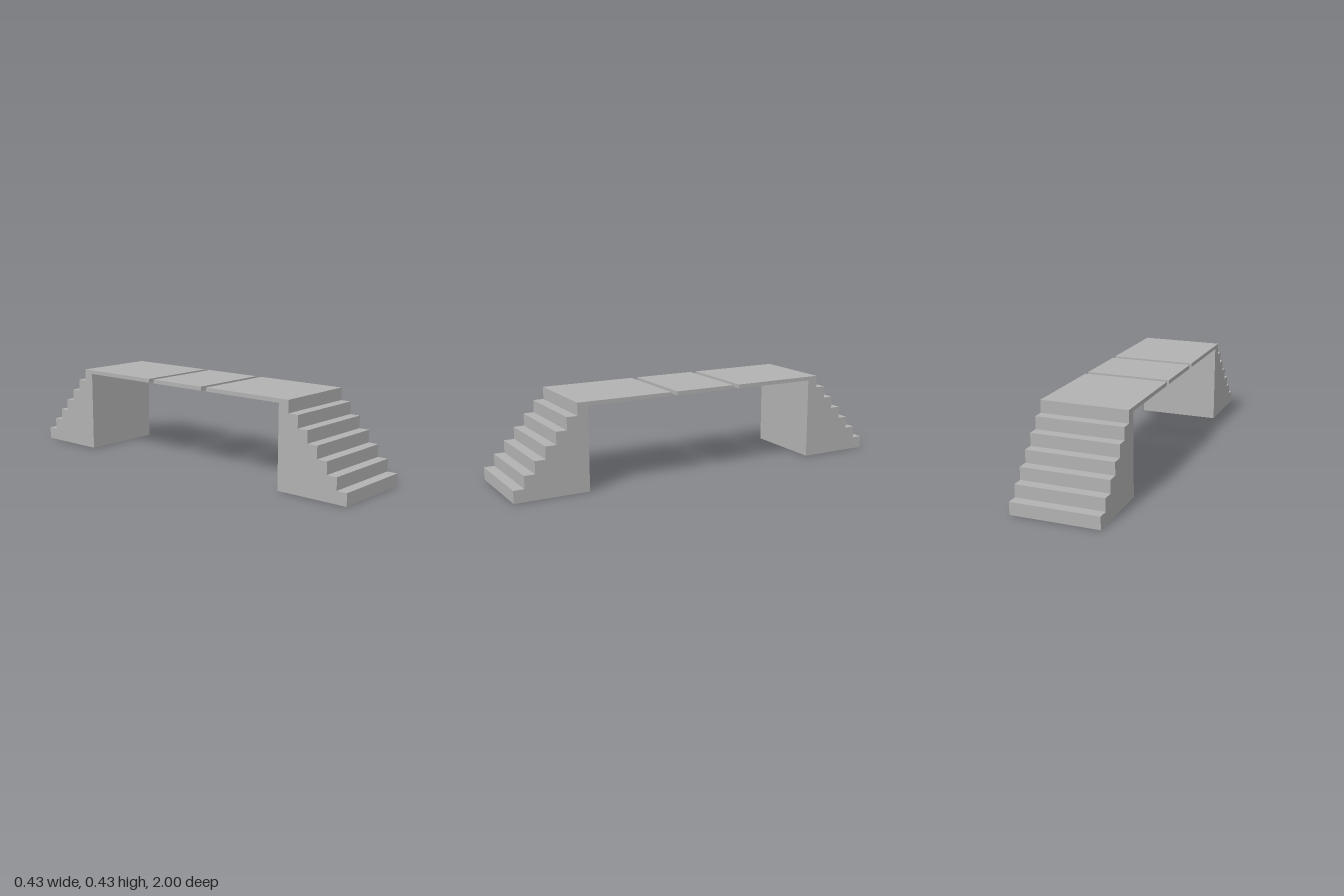
import * as THREE from 'three';

const WIDTH = 0.43, HEIGHT = 0.43, STEPS = 7;
const OUTER = 1, INNER = 0.628, DECK = 0.02;
const RISE = HEIGHT / STEPS, RUN = (OUTER - INNER) / STEPS;

// Solid flight of steps: side profile (z, y) extruded across the width
function stairGeometry() {
  const profile = new THREE.Shape();
  profile.moveTo(INNER, 0);
  profile.lineTo(OUTER, 0);
  for (let i = 0; i < STEPS; i++) {
    const z = OUTER - i * RUN;
    profile.lineTo(z, (i + 1) * RISE);
    profile.lineTo(z - RUN, (i + 1) * RISE);
  }
  profile.closePath();
  const geometry = new THREE.ExtrudeGeometry(profile, { depth: WIDTH, bevelEnabled: false });
  return geometry.translate(0, 0, -WIDTH / 2).rotateY(-Math.PI / 2);
}

export function createModel() {
  const bridge = new THREE.Group();
  bridge.name = 'footbridge';
  const grey = new THREE.MeshStandardMaterial({ color: 0xb2b2b2 });
  grey.name = 'concrete grey';

  const add = (name, geometry, turn = 0) => {
    const mesh = new THREE.Mesh(geometry, grey);
    mesh.name = name;
    mesh.rotation.y = turn;
    bridge.add(mesh);
  };

  // Deck slab between two z positions, flush with the top step
  const slab = (z0, z1) =>
    new THREE.BoxGeometry(WIDTH, DECK, z1 - z0).translate(0, HEIGHT - DECK / 2, (z0 + z1) / 2);

  // Stairs and fixed decks at both ends
  for (const [end, turn] of [['front', 0], ['back', Math.PI]]) {
    add(end + 'Stairs', stairGeometry(), turn);
    add(end + 'Deck', slab(0.193, INNER), turn);
  }

  // Separate middle span
  add('middleDeck', slab(-0.16, 0.16));
  return bridge;
}
